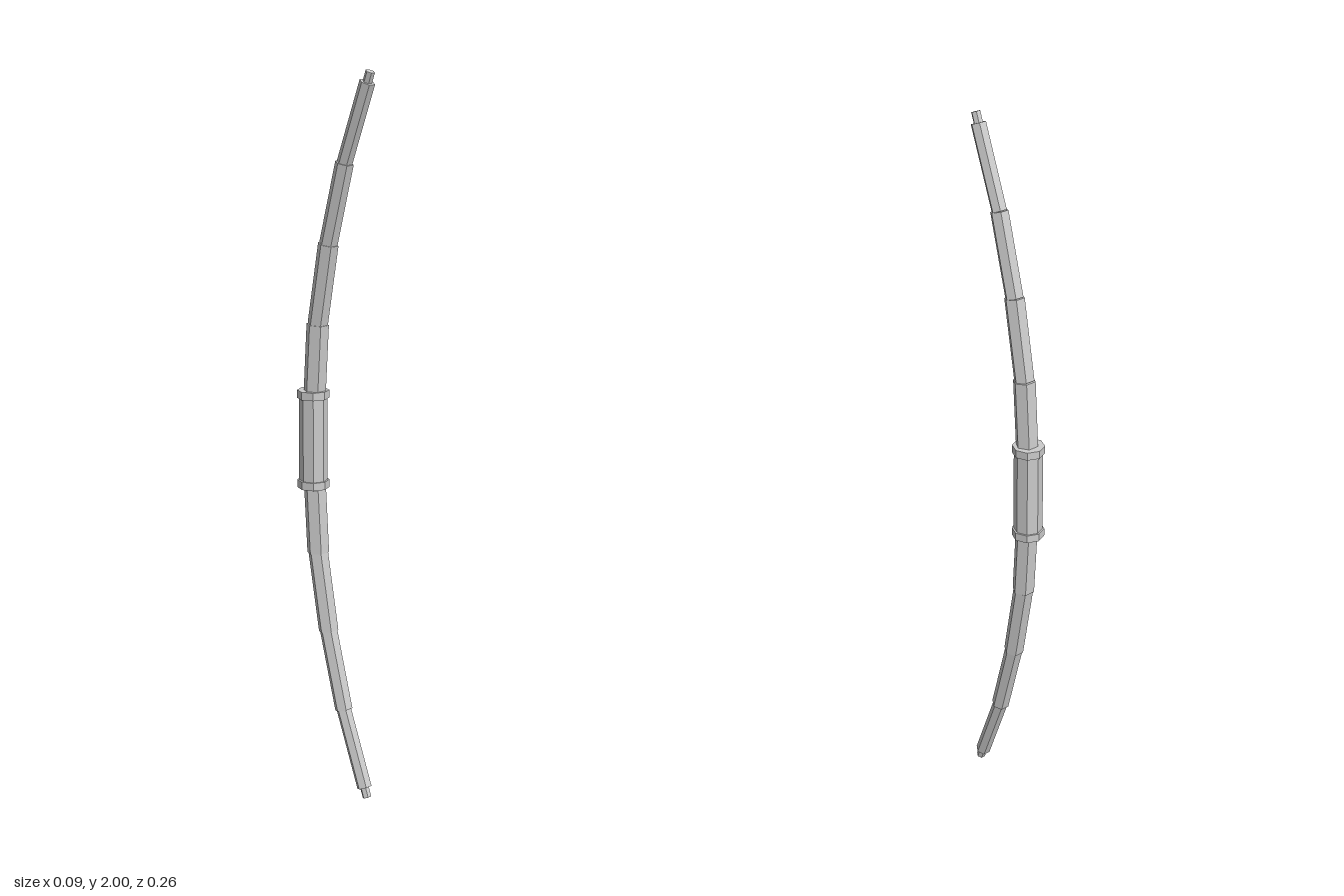
import * as THREE from 'three';

const material = new THREE.MeshStandardMaterial({ color: 0xcccccc, flatShading: true });
const UP = new THREE.Vector3(0, 1, 0);

// Straight prism between two points in the x = 0 plane, given as [y, z]
function prism(name, a, b, radius, sides, turn = 0) {
  const start = new THREE.Vector3(0, a[0], a[1]);
  const end = new THREE.Vector3(0, b[0], b[1]);
  const dir = end.clone().sub(start);
  const geometry = new THREE.CylinderGeometry(radius, radius, dir.length(), sides);
  geometry.rotateY(turn);
  const mesh = new THREE.Mesh(geometry, material);
  mesh.name = name;
  mesh.position.copy(start).add(end).multiplyScalar(0.5);
  mesh.quaternion.setFromUnitVectors(UP, dir.normalize());
  return mesh;
}

export function createModel() {
  const bow = new THREE.Group();
  bow.name = 'bow';

  // Octagonal grip with a thin collar at each end
  const gripZ = -0.089;
  bow.add(prism('grip', [0.87, gripZ], [1.13, gripZ], 0.039, 8));
  bow.add(prism('upperCollar', [1.115, gripZ], [1.137, gripZ], 0.044, 8));
  bow.add(prism('lowerCollar', [0.863, gripZ], [0.885, gripZ], 0.044, 8));

  // Each limb: hexagonal segments that step down in width towards the tip
  const joints = [[0.1, -0.085], [0.32, -0.071], [0.54, -0.031], [0.758, 0.028], [0.968, 0.108], [0.995, 0.118]];
  const radii = [0.031, 0.028, 0.025, 0.021, 0.0125];
  for (const side of [1, -1]) {
    const limb = new THREE.Group();
    limb.name = side > 0 ? 'upperLimb' : 'lowerLimb';
    const at = ([y, z]) => [1 + side * y, z];
    radii.forEach((radius, i) => {
      const name = i === radii.length - 1 ? 'limbTip' : 'limbSegment' + (i + 1);
      // List the lower point first so every prism points upwards
      const ends = [at(joints[i]), at(joints[i + 1])];
      if (side < 0) ends.reverse();
      limb.add(prism(name, ends[0], ends[1], radius, 6, Math.PI / 2));
    });
    bow.add(limb);
  }
  return bow;
}
